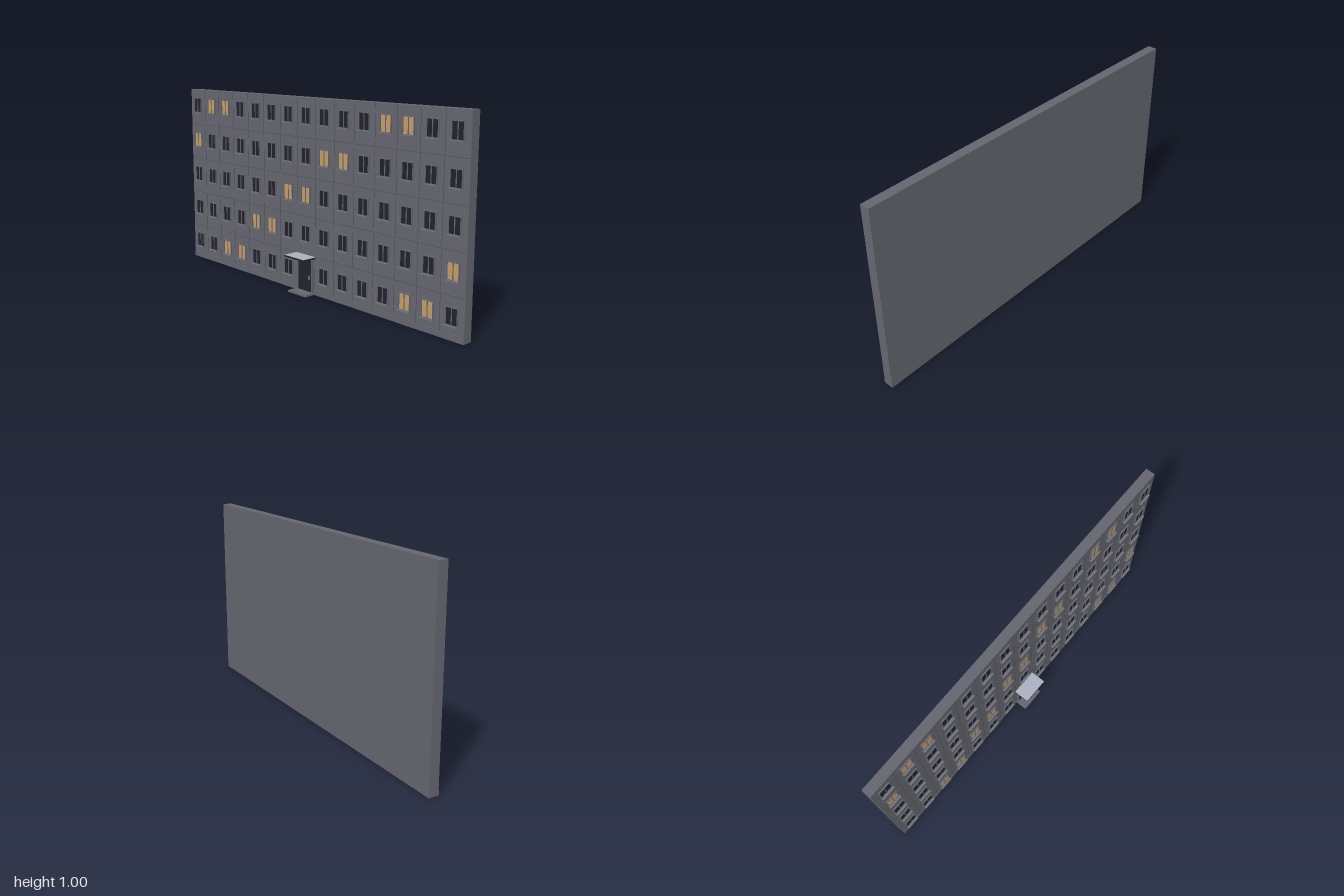
import * as THREE from 'three';

const mat = (name, color) => Object.assign(new THREE.MeshStandardMaterial({ color }), { name });

export function createModel() {
  const wallGrey = mat('wall grey', 0x65656f);
  const seamGrey = mat('seam grey', 0x4c4c55);
  const trimGrey = mat('trim grey', 0x70707a);
  const darkGlass = mat('dark glass', 0x22222e);
  const litGlass = mat('lit glass', 0xc49c67);
  const canopyDark = mat('canopy dark', 0x24242e);
  const canopyLight = mat('canopy top', 0xabb0c0);

  const FACE = -0.017, PITCH = 2 / 15, FLOOR = 0.2;
  const model = new THREE.Group();
  model.name = 'apartmentFacade';

  // Box given by its x, y and z limits
  const box = (parent, name, material, x0, x1, y0, y1, z0, z1) => {
    const mesh = new THREE.Mesh(new THREE.BoxGeometry(x1 - x0, y1 - y0, z1 - z0), material);
    mesh.position.set((x0 + x1) / 2, (y0 + y1) / 2, (z0 + z1) / 2);
    mesh.name = name;
    parent.add(mesh);
    return mesh;
  };

  // Rectangular frame as four bars
  const frame = (parent, name, material, w, y0, y1, t, z1, bottom = true) => {
    box(parent, name, material, -w, -w + t, y0, y1, FACE, z1);
    box(parent, name, material, w - t, w, y0, y1, FACE, z1);
    box(parent, name, material, -w + t, w - t, y1 - t, y1, FACE, z1);
    if (bottom) box(parent, name, material, -w + t, w - t, y0, y0 + t, FACE, z1);
  };

  // Wall slab and plinth
  box(model, 'wall', wallGrey, -1, 1, 0, 1, -0.067, FACE);
  box(model, 'plinth', wallGrey, -1, 1, 0, 0.03, FACE, FACE + 0.002);

  // Panel joints
  for (let f = 1; f < 5; f++)
    box(model, 'floorSeam', seamGrey, -1, 1, f * FLOOR - 0.001, f * FLOOR + 0.001, FACE, FACE + 0.0008);
  for (let c = 1; c < 15; c++) {
    const x = -1 + c * PITCH;
    box(model, 'panelSeam', seamGrey, x - 0.001, x + 0.001, 0.03, 1, FACE, FACE + 0.0008);
  }

  // Windows: lit columns listed for each floor, from the ground up
  const litColumns = [[2, 3, 12, 13], [4, 5, 14], [6, 7], [0, 8, 9], [1, 2, 11, 12]];
  litColumns.forEach((lit, f) => {
    for (let c = 0; c < 15; c++) {
      if (f === 0 && c === 7) continue;
      const win = new THREE.Group();
      win.name = 'window';
      win.position.set((c - 7) * PITCH, f * FLOOR, 0);
      box(win, 'glass', lit.includes(c) ? litGlass : darkGlass, -0.031, 0.031, 0.071, 0.15, FACE, -0.014);
      frame(win, 'windowFrame', wallGrey, 0.034, 0.068, 0.153, 0.004, -0.01);
      box(win, 'mullion', wallGrey, -0.002, 0.002, 0.072, 0.149, FACE, -0.011);
      box(win, 'sill', trimGrey, -0.036, 0.036, 0.066, 0.07, FACE, 0);
      model.add(win);
    }
  });

  // Entrance
  const entrance = new THREE.Group();
  entrance.name = 'entrance';
  box(entrance, 'door', darkGlass, -0.05, 0.05, 0.01, 0.178, FACE, -0.009);
  frame(entrance, 'doorFrame', wallGrey, 0.057, 0.01, 0.185, 0.007, -0.006, false);
  box(entrance, 'doorHandle', trimGrey, 0.034, 0.038, 0.075, 0.097, -0.009, 0);
  box(entrance, 'step', wallGrey, -0.066, 0.066, 0, 0.01, FACE, 0.049);
  box(entrance, 'canopy', canopyDark, -0.072, 0.072, 0.19, 0.199, FACE, 0.067);
  box(entrance, 'canopyTop', canopyLight, -0.072, 0.072, 0.199, 0.2, FACE, 0.067);
  model.add(entrance);

  return model;
}
